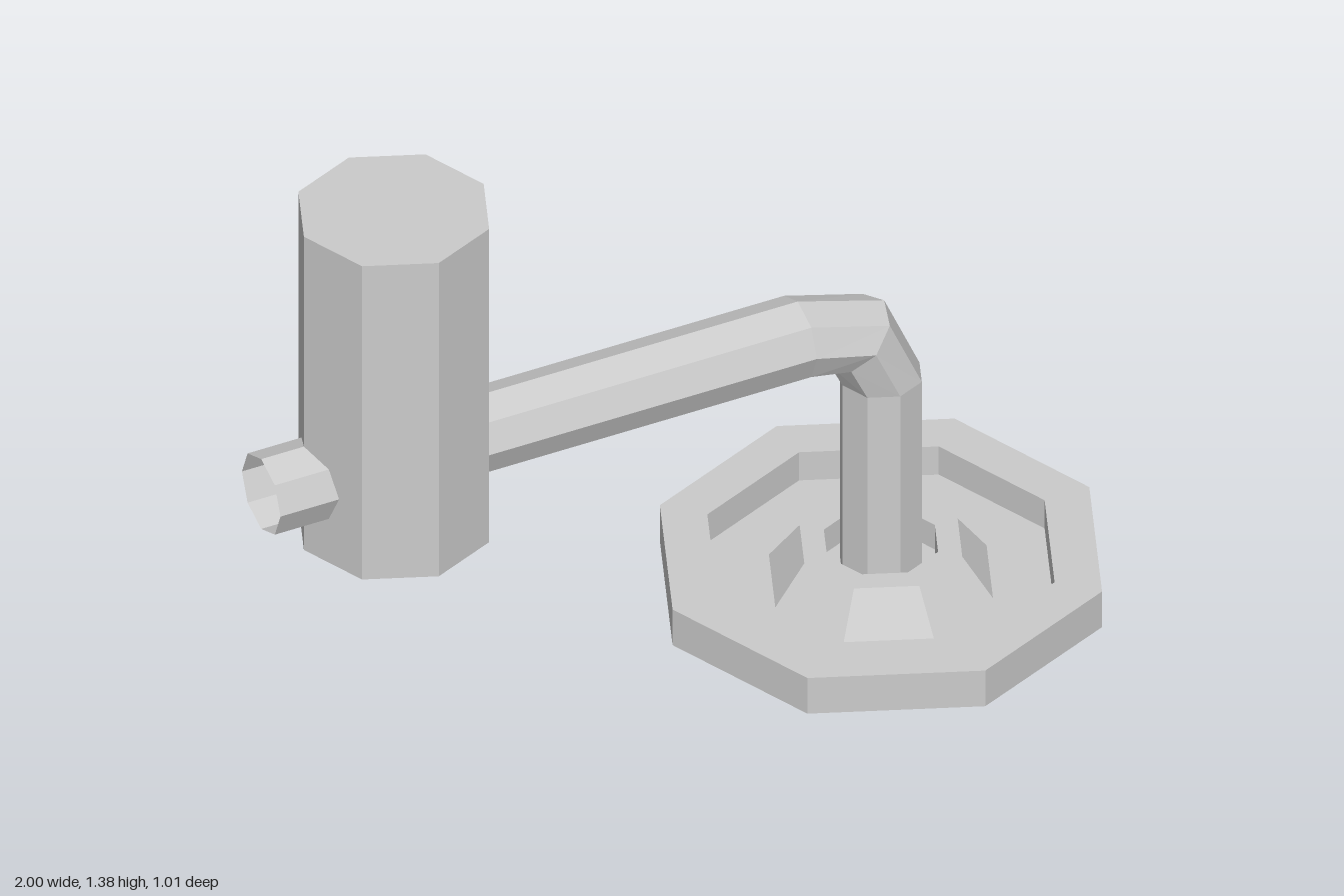
import * as THREE from 'three';

const SIDES = 8;
const material = (side = THREE.FrontSide) =>
  new THREE.MeshStandardMaterial({ color: 0xcccccc, flatShading: true, side });

// Open tube skinned over rings; each ring is [x, y, angle of its travel direction below +x]
function bentPipe(rings, radius) {
  const positions = [], index = [];
  rings.forEach(([x, y, turn], r) => {
    for (let s = 0; s < SIDES; s++) {
      const a = (s / SIDES) * Math.PI * 2, c = Math.cos(a) * radius;
      positions.push(x + c * Math.sin(turn), y + c * Math.cos(turn), Math.sin(a) * radius);
      if (r === rings.length - 1) continue;
      const p = r * SIDES + s, q = r * SIDES + (s + 1) % SIDES;
      index.push(p, q, p + SIDES, q, q + SIDES, p + SIDES);
    }
  });
  const geometry = new THREE.BufferGeometry();
  geometry.setAttribute('position', new THREE.Float32BufferAttribute(positions, 3));
  geometry.setIndex(index);
  geometry.computeVertexNormals();
  return geometry;
}

export function createModel() {
  const model = new THREE.Group();
  const add = (name, geometry, mat) => {
    const mesh = new THREE.Mesh(geometry, mat);
    mesh.name = name;
    model.add(mesh);
    return mesh;
  };

  // Dished round plate: raised rim, recessed floor, conical collar, socket for the pipe
  const profile = [
    [0.503, 0], [0.503, 0.095], [0.395, 0.095], [0.395, 0.02],
    [0.255, 0.02], [0.185, 0.115], [0.13, 0.115], [0.13, 0.05], [0, 0.05],
  ].map(([r, y]) => new THREE.Vector2(r, y));
  add('basePlate', new THREE.LatheGeometry(profile, SIDES), material(THREE.DoubleSide))
    .position.x = 0.496;

  // Pipe running through the canister, then bending down into the plate
  add('pipe', bentPipe([
    [-1, 0.725, 0],
    [0.295, 0.725, 0],
    [0.438, 0.688, Math.PI / 4],
    [0.496, 0.56, Math.PI / 2],
    [0.496, 0.05, Math.PI / 2],
  ], 0.093), material(THREE.DoubleSide));

  // Upright canister
  add('canister', new THREE.CylinderGeometry(0.217, 0.217, 0.835, SIDES), material())
    .position.set(-0.68, 0.96, 0);

  return model;
}
